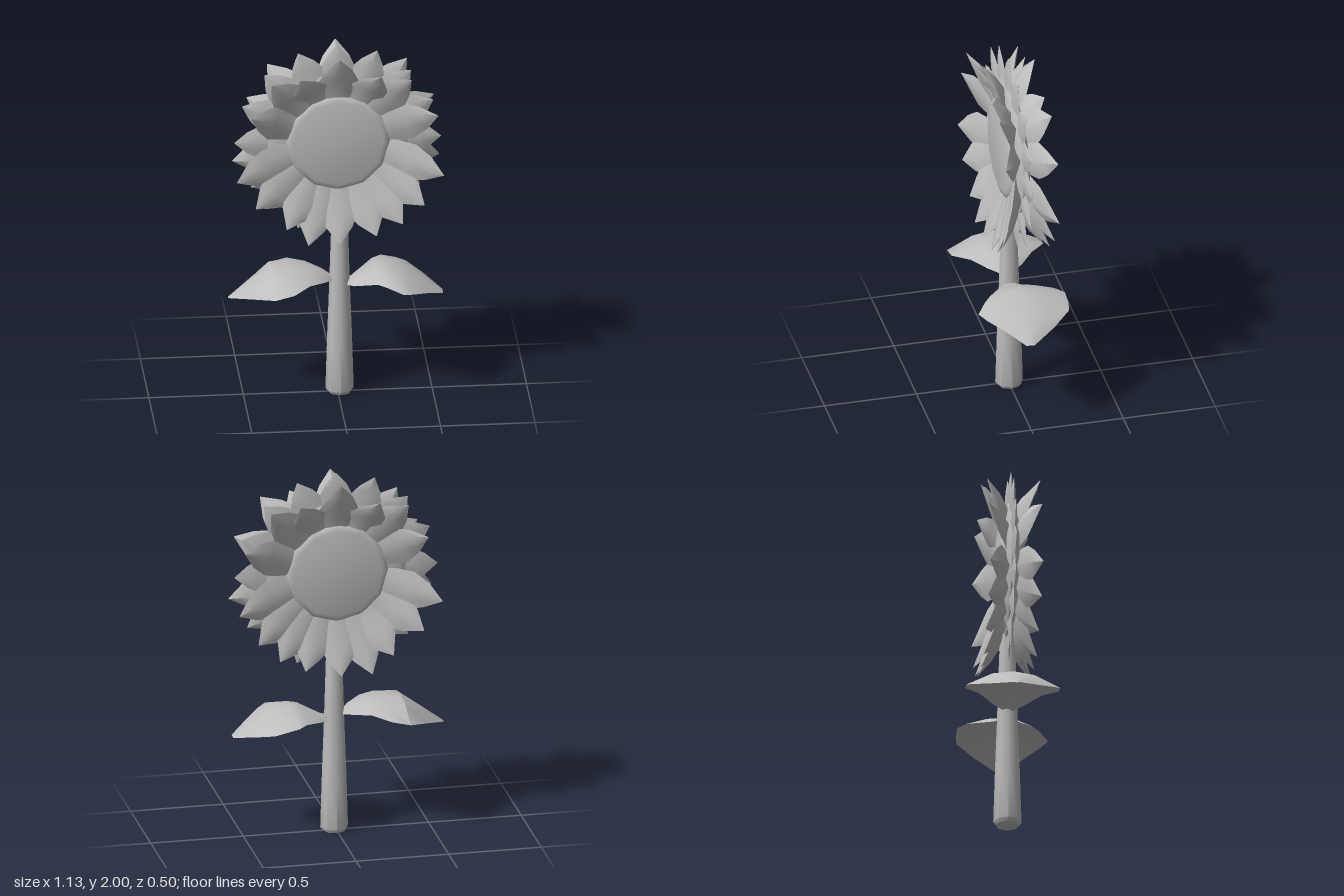
import * as THREE from 'three';
import { toCreasedNormals } from 'three/addons/utils/BufferGeometryUtils.js';

const HEAD_Y = 1.455;
const rad = THREE.MathUtils.degToRad;

// Solid blade along +x. Each row: [along, half width, ridge z, edge z, underside z, other half width]
function blade(rows) {
  const pos = [], idx = [];
  for (const [a, w, top, edge, under, w2 = w] of rows) {
    const mid = edge + (top - edge) * 0.8;
    pos.push(a, w, edge, a, w * 0.45, mid, a, 0, top, a, -w2 * 0.45, mid, a, -w2, edge, a, 0, under);
  }
  const n = 6;
  for (let i = 0; i < rows.length - 1; i++) {
    for (let j = 0; j < n; j++) {
      const a = i * n + j, b = i * n + (j + 1) % n;
      idx.push(a, b, b + n, a, b + n, a + n);
    }
  }
  const g = new THREE.BufferGeometry();
  g.setAttribute('position', new THREE.Float32BufferAttribute(pos, 3));
  g.setIndex(idx);
  return g;
}

export function createModel() {
  const model = new THREE.Group();
  const grey = new THREE.MeshStandardMaterial({ color: 0xbebebe });
  grey.name = 'plainGrey';
  grey.side = THREE.DoubleSide;

  const add = (parent, name, geometry, crease = 0.7) => {
    const mesh = new THREE.Mesh(toCreasedNormals(geometry, crease), grey);
    mesh.name = name;
    parent.add(mesh);
    return mesh;
  };
  const addGroup = (parent, name) => {
    const group = new THREE.Group();
    group.name = name;
    parent.add(group);
    return group;
  };
  const lathe = (points, sides) =>
    new THREE.LatheGeometry(points.map(([r, y]) => new THREE.Vector2(r, y)), sides);

  // Tapered stem with a small bevel at the foot
  const stem = add(model, 'stem', lathe(
    [[0.001, 0], [0.062, 0], [0.075, 0.02], [0.066, 0.32], [0.055, 0.62], [0.045, 0.95], [0.032, 1.25]], 8), 0.9);
  stem.position.x = 0.01;

  // Flower head: flat seed disc on both faces, and a thin web joining the petal bases
  const head = addGroup(model, 'flowerHead');
  head.position.y = HEAD_Y;
  add(head, 'seedDisc', lathe([[0.001, -0.055], [0.24, -0.055], [0.268, -0.045], [0.282, -0.02],
    [0.282, 0.02], [0.268, 0.045], [0.24, 0.055], [0.001, 0.055]], 12).rotateX(Math.PI / 2), 0.9);
  add(head, 'petalWeb', lathe([[0.26, -0.03], [0.33, -0.035], [0.38, -0.01], [0.38, 0.01],
    [0.33, 0.035], [0.26, 0.03]], 24).rotateX(Math.PI / 2));

  // Broad outward-leaning petals, the same on the front and back: [angle, tip radius]
  const petals = [
    [90, 0.52], [62, 0.47], [46, 0.545], [19, 0.55], [-17, 0.575], [-37, 0.56], [-53, 0.55], [-69, 0.54],
    [-90, 0.545], [-107, 0.57], [-122, 0.53], [-144, 0.55], [-163, 0.57], [157, 0.51], [133, 0.53], [117, 0.46],
  ];
  const outerPetals = addGroup(head, 'outerPetals');
  for (const flip of [0, Math.PI]) {
    for (const [deg, tip] of petals) {
      const s = tip - 0.54;
      const g = blade([
        [0.22, 0.07, 0.035, 0.025, 0.005],
        [0.30, 0.095, 0.055, 0.04, 0.01],
        [0.38 + s * 0.5, 0.105, 0.088, 0.07, 0.025],
        [0.46 + s * 0.8, 0.07, 0.115, 0.1, 0.07],
        [tip, 0.002, 0.142, 0.141, 0.139],
      ]);
      add(outerPetals, flip ? 'backPetal' : 'frontPetal', g.rotateX(flip).rotateZ(rad(deg)), 0.8);
    }
  }

  // Thin flat petals between the two leaning rings
  const middlePetals = addGroup(head, 'middlePetals');
  for (let i = 0; i < 16; i++) {
    const g = blade([
      [0.25, 0.07, 0.02, 0, -0.02],
      [0.43, 0.085, 0.014, 0, -0.014],
      [0.48, 0.06, 0.011, 0, -0.011],
      [0.547, 0.002, 0.001, 0, -0.001],
    ]);
    add(middlePetals, 'middlePetal', g.rotateZ(rad(90 + i * 22.5)));
  }

  // Two wide arched leaves with drooping tips
  const leftRows = [
    [0.02, 0.015, 0.645, 0.625, 0.615],
    [0.08, 0.075, 0.652, 0.635, 0.63],
    [0.20, 0.20, 0.715, 0.672, 0.69, 0.15],
    [0.25, 0.245, 0.72, 0.668, 0.70, 0.19],
    [0.33, 0.245, 0.70, 0.65, 0.68, 0.245],
    [0.38, 0.235, 0.68, 0.635, 0.66, 0.21],
    [0.47, 0.135, 0.625, 0.6, 0.61, 0.12],
    [0.555, 0.01, 0.567, 0.56, 0.556, 0.04],
  ];
  const rightRows = [
    [0.02, 0.015, 0.665, 0.65, 0.64],
    [0.08, 0.095, 0.70, 0.67, 0.675],
    [0.16, 0.165, 0.728, 0.685, 0.705],
    [0.25, 0.248, 0.733, 0.67, 0.71],
    [0.35, 0.248, 0.732, 0.645, 0.705],
    [0.46, 0.13, 0.655, 0.605, 0.635],
    [0.58, 0.008, 0.568, 0.563, 0.558],
  ];
  add(model, 'leftLeaf', blade(leftRows).rotateX(-Math.PI / 2), 0.6);
  add(model, 'rightLeaf', blade(rightRows).rotateX(-Math.PI / 2).rotateY(Math.PI), 0.6);

  return model;
}
